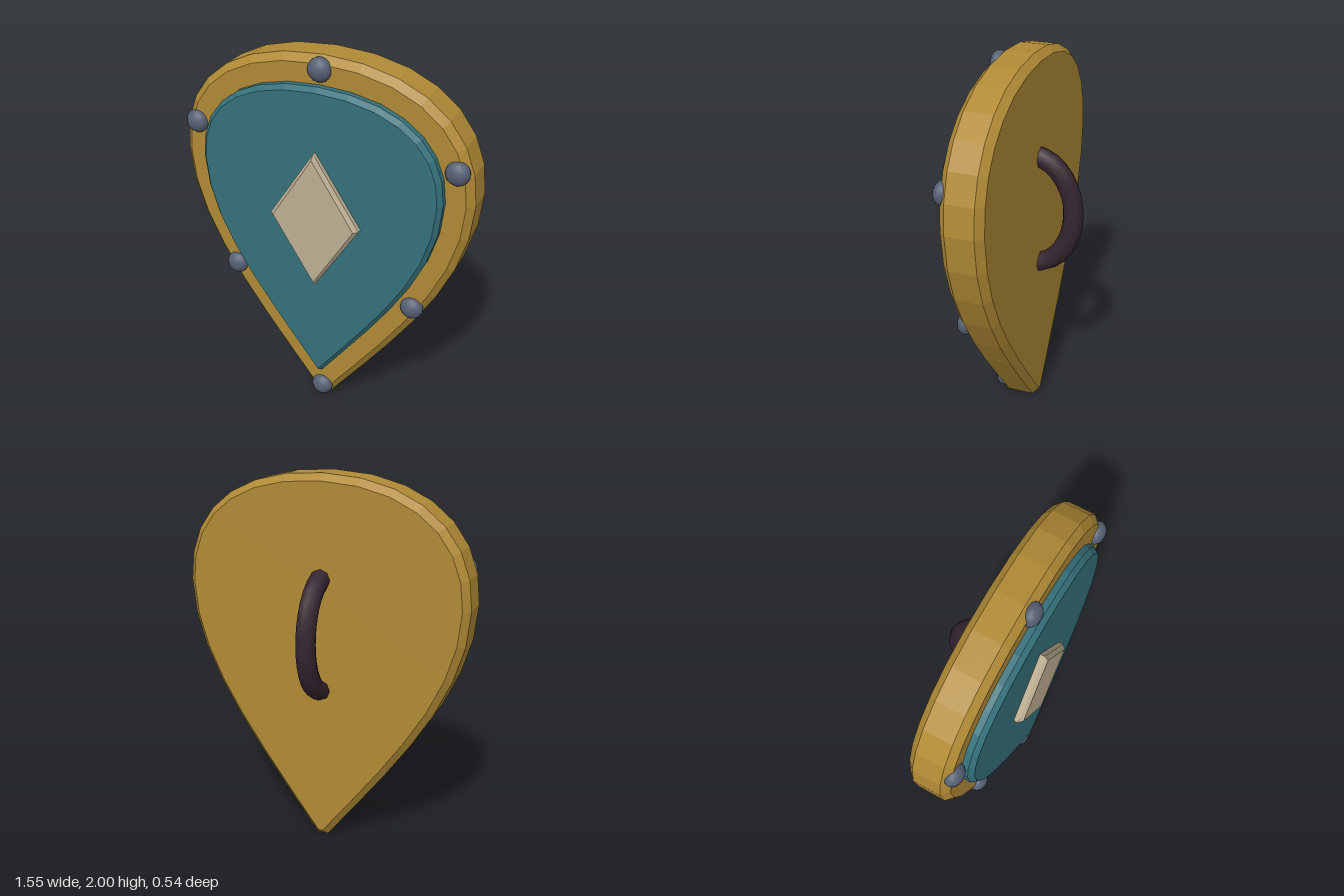
import * as THREE from 'three';

const gold = new THREE.MeshStandardMaterial({ name: 'gold', color: 0xb08a35 });
const teal = new THREE.MeshStandardMaterial({ name: 'teal', color: 0x34707a });
const bone = new THREE.MeshStandardMaterial({ name: 'bone', color: 0xbcae92 });
const steel = new THREE.MeshStandardMaterial({ name: 'steel', color: 0x566074 });
const leather = new THREE.MeshStandardMaterial({ name: 'leather', color: 0x35252f });

// Symmetric teardrop outline: two curves per side and a small blunt tip
function teardrop(top, upper, lower, tip) {
  const v = (p) => new THREE.Vector2(p[0], p[1]);
  const right = [
    ...new THREE.CubicBezierCurve(v(top), v(upper[0]), v(upper[1]), v(upper[2])).getPoints(7),
    ...new THREE.CubicBezierCurve(v(upper[2]), v(lower[0]), v(lower[1]), v(tip)).getPoints(7).slice(1),
  ];
  const left = right.slice(1).reverse().map((p) => new THREE.Vector2(-p.x, p.y));
  return new THREE.Shape([...right, ...left]);
}

// Plate between two depths, chamfered inside its outline
function plate(name, shape, back, front, size, thickness, material) {
  const geometry = new THREE.ExtrudeGeometry(shape, {
    depth: front - back - 2 * thickness,
    bevelEnabled: true,
    bevelSegments: 1,
    bevelSize: size,
    bevelThickness: thickness,
    bevelOffset: -size,
  });
  geometry.translate(0, 0, back + thickness);
  const mesh = new THREE.Mesh(geometry, material);
  mesh.name = name;
  return mesh;
}

export function createModel() {
  const model = new THREE.Group();
  model.name = 'shield';

  // Thick body whose border forms the rim
  const body = teardrop([0, 2], [[0.5, 2], [0.775, 1.76], [0.775, 1.39]],
    [[0.775, 0.95], [0.45, 0.55]], [0.03, 0]);
  model.add(plate('body', body, -0.041, 0.172, 0.035, 0.035, gold));

  // Raised front panel
  const panel = teardrop([0, 1.865], [[0.41, 1.865], [0.64, 1.69], [0.64, 1.39]],
    [[0.64, 0.99], [0.345, 0.65]], [0.012, 0.2]);
  model.add(plate('panel', panel, 0.12, 0.228, 0.022, 0.025, teal));

  // Diamond boss
  const diamond = new THREE.Shape([[0, 1.545], [-0.24, 1.175], [0, 0.8], [0.24, 1.175]]
    .map(([x, y]) => new THREE.Vector2(x, y)));
  model.add(plate('diamond', diamond, 0.2, 0.272, 0.018, 0.02, bone));

  // Rivets around the rim
  const rivet = new THREE.SphereGeometry(0.06, 16, 10);
  const spots = [[0, 1.937], [0.687, 1.555], [-0.687, 1.555], [0.503, 0.755], [-0.503, 0.755], [0, 0.073]];
  for (const [x, y] of spots) {
    const mesh = new THREE.Mesh(rivet, steel);
    mesh.name = 'rivet';
    mesh.position.set(x, y, 0.17);
    mesh.scale.z = 0.75;
    model.add(mesh);
  }

  // Arched grip, its ends sunk into the back
  const arc = [];
  for (let i = 0; i <= 12; i++) {
    const a = (i / 12) * Math.PI;
    arc.push(new THREE.Vector3(0, 1.175 + 0.305 * Math.cos(a), -0.218 * Math.sin(a)));
  }
  const grip = new THREE.Mesh(
    new THREE.TubeGeometry(new THREE.CatmullRomCurve3(arc), 16, 0.054, 8), leather);
  grip.name = 'grip';
  model.add(grip);

  return model;
}
